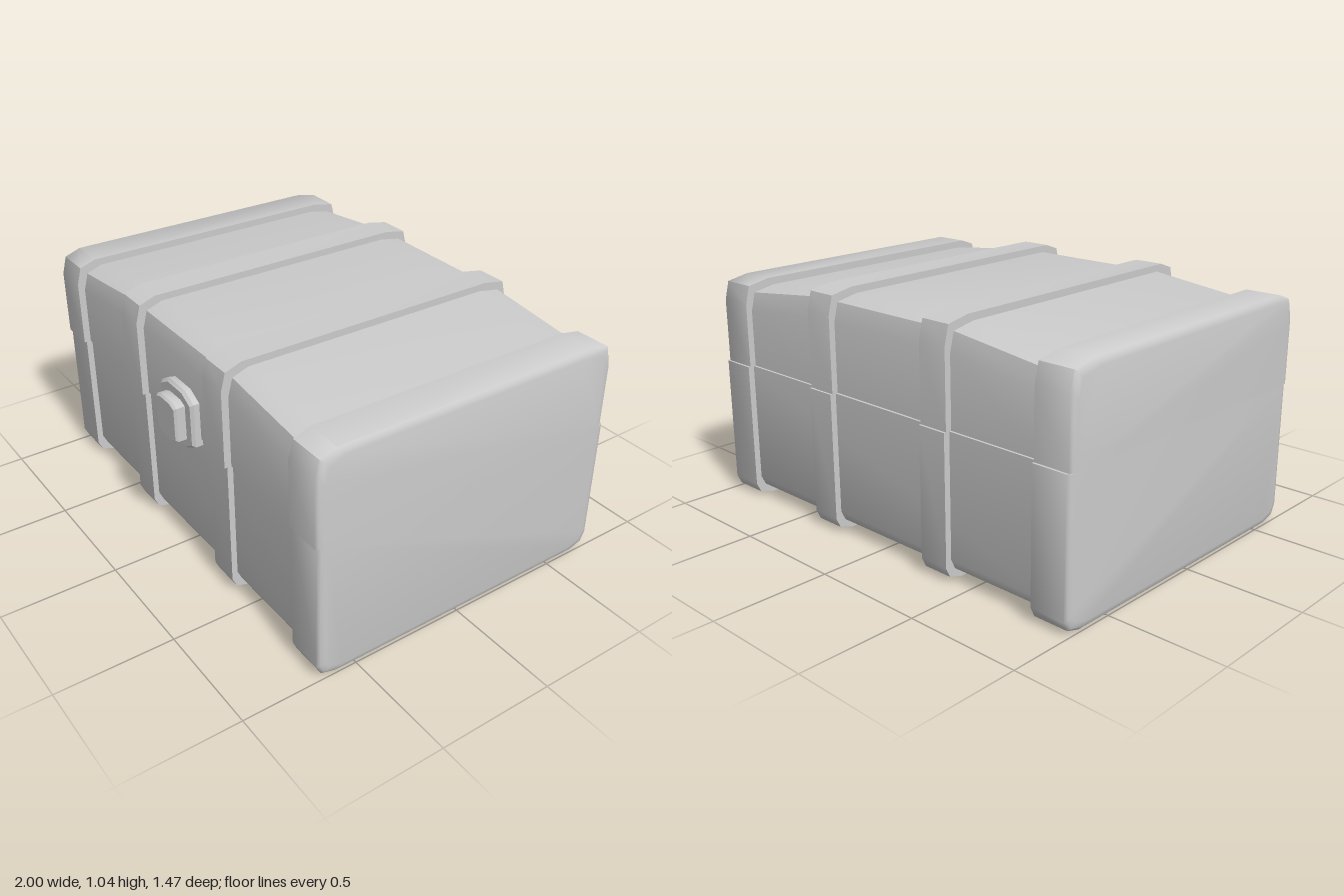
import * as THREE from 'three';
import { toCreasedNormals } from 'three/addons/utils/BufferGeometryUtils.js';

const SEAM = 0.61;
const material = new THREE.MeshStandardMaterial({ color: 0xcccccc });

// Skins a row of convex rings (counterclockwise about the row's direction) and caps both ends.
function loft(name, rings, crease = 0.95) {
  const n = rings[0].length;
  const pos = [];
  const tri = (...pts) => pts.forEach((p) => pos.push(...p));
  for (let i = 0; i < rings.length - 1; i++) {
    for (let j = 0; j < n; j++) {
      const k = (j + 1) % n;
      const a = rings[i][j], b = rings[i][k], c = rings[i + 1][k], d = rings[i + 1][j];
      tri(a, b, c);
      tri(a, c, d);
    }
  }
  const first = rings[0], last = rings[rings.length - 1];
  for (let j = 1; j < n - 1; j++) {
    tri(first[0], first[j + 1], first[j]);
    tri(last[0], last[j], last[j + 1]);
  }
  const geometry = new THREE.BufferGeometry();
  geometry.setAttribute('position', new THREE.Float32BufferAttribute(pos, 3));
  const mesh = new THREE.Mesh(toCreasedNormals(geometry, crease), material);
  mesh.name = name;
  return mesh;
}

// Lid cross-section at x: rounded top corners, the top falling slightly to the back.
const lidRing = (x, top, front, back) => [
  [SEAM, back], [top - 0.11, back], [top - 0.03, back + 0.02], [top - 0.01, back + 0.12],
  [top, front - 0.09], [top - 0.025, front - 0.02], [top - 0.1, front], [SEAM, front],
].map(([y, z]) => [x, y, z]);

// Base cross-section at x: rounded bottom corners.
const baseRing = (x, bottom, front, back) => [
  [SEAM, front], [bottom + 0.06, front], [bottom + 0.018, front - 0.02], [bottom, front - 0.08],
  [bottom, back + 0.08], [bottom + 0.018, back + 0.02], [bottom + 0.06, back], [SEAM, back],
].map(([y, z]) => [x, y, z]);

// Octagon facing +z, longer in y.
const octagon = (cx, cy, w, h, cutX, cutY, z) => [
  [w, -h + cutY], [w, h - cutY], [w - cutX, h], [-w + cutX, h],
  [-w, h - cutY], [-w, -h + cutY], [-w + cutX, -h], [w - cutX, -h],
].map(([x, y]) => [cx + x, cy + y, z]);

export function createModel() {
  const model = new THREE.Group();
  model.name = 'chest';
  const base = new THREE.Group();
  base.name = 'base';
  const lid = new THREE.Group();
  lid.name = 'lid';
  model.add(base, lid);

  // Panels between the bands; the lid slopes down towards both ends
  base.add(loft('basePanel', [-0.9, 0.9].map((x) => baseRing(x, 0.03, 0.643, -0.703))));
  const slope = [[-0.9, 0.957], [-0.4, 1.015], [0.4, 1.015], [0.9, 0.957]];
  lid.add(loft('lidPanel', slope.map(([x, top]) => lidRing(x, top, 0.65, -0.693)), 0.7));

  // Middle bands
  for (const [x0, x1] of [[-0.4, -0.265], [0.26, 0.395]]) {
    base.add(loft('middleBaseBand', [x0, x1].map((x) => baseRing(x, 0.003, 0.668, -0.73))));
    lid.add(loft('middleLidBand', [x0, x1].map((x) => lidRing(x, 1.045, 0.68, -0.72))));
  }

  // End bands with slightly bevelled closed ends
  for (const side of [-1, 1]) {
    const steps = [[0.83, 0], [0.985, 0], [0.995, 0.01], [1, 0.03]];
    const xs = steps.map(([x, inset]) => [side * x, inset]);
    if (side < 0) xs.reverse();
    base.add(loft('endBaseBand', xs.map(([x, i]) => baseRing(x, i, 0.67 - i, -0.73 + i))));
    lid.add(loft('endLidBand', xs.map(([x, i]) => lidRing(x, 0.997 - i, 0.68 - i, -0.72 + i))));
  }

  // Latch: plate and raised button, both with bevelled fronts
  const latch = new THREE.Group();
  latch.name = 'latch';
  latch.add(loft('latchPlate', [
    octagon(0.045, 0.678, 0.125, 0.132, 0.065, 0.035, 0.63),
    octagon(0.045, 0.678, 0.125, 0.132, 0.065, 0.035, 0.675),
    octagon(0.045, 0.678, 0.115, 0.122, 0.06, 0.033, 0.688),
  ], 0.5));
  latch.add(loft('latchButton', [
    octagon(0.045, 0.675, 0.076, 0.09, 0.035, 0.014, 0.68),
    octagon(0.045, 0.675, 0.076, 0.09, 0.035, 0.014, 0.725),
    octagon(0.045, 0.675, 0.069, 0.083, 0.032, 0.013, 0.735),
  ], 0.5));
  lid.add(latch);

  return model;
}
